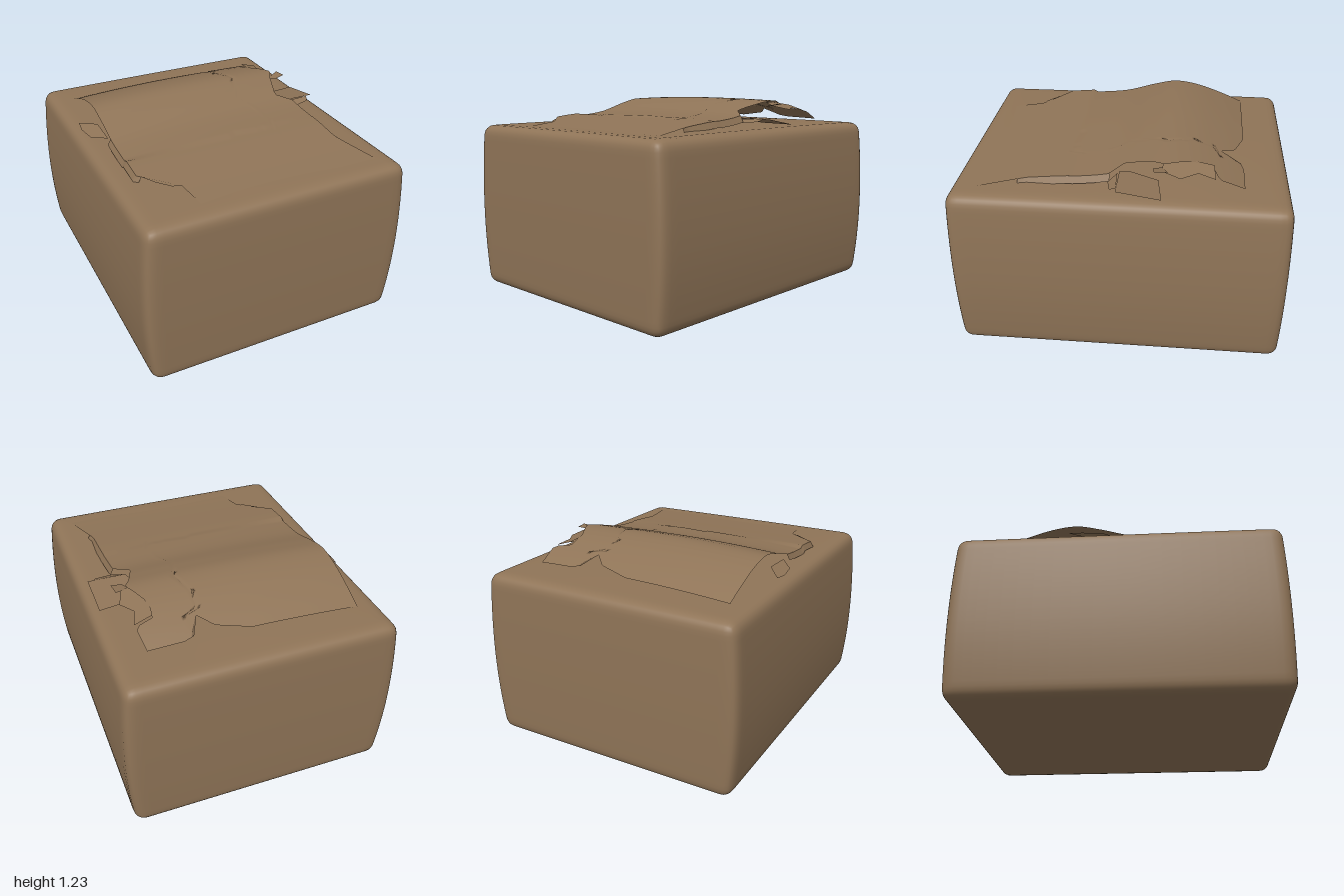
import * as THREE from 'three';
import { mergeVertices } from 'three/addons/utils/BufferGeometryUtils.js';

const cardboard = new THREE.MeshStandardMaterial({ color: 0x8f7457, side: THREE.DoubleSide });
cardboard.name = 'cardboard brown';

// Linear lookup through [position, value] pairs in ascending order
function lookup(pairs, t) {
  if (t <= pairs[0][0]) return pairs[0][1];
  for (let i = 1; i < pairs.length; i++) {
    const [a, va] = pairs[i - 1], [b, vb] = pairs[i];
    if (t <= b) return va + (vb - va) * (t - a) / (b - a);
  }
  return pairs[pairs.length - 1][1];
}

// Smooth curve of a value over z
function smoothProfile(points) {
  const curve = new THREE.CatmullRomCurve3(points.map(([z, y]) => new THREE.Vector3(0, y, z)));
  const samples = curve.getPoints(80).map((p) => [p.z, p.y]);
  return (z) => lookup(samples, z);
}

function addMesh(group, name, geometry) {
  const mesh = new THREE.Mesh(geometry, cardboard);
  mesh.name = name;
  group.add(mesh);
}

// Rounded carton whose walls bulge softly
function bodyGeometry() {
  let geo = new THREE.BoxGeometry(2, 2, 2, 28, 28, 28);
  geo.deleteAttribute('normal');
  geo.deleteAttribute('uv');
  geo = mergeVertices(geo);
  const pos = geo.attributes.position;
  const half = new THREE.Vector3(0.825, 0.53, 0.99);
  const r = 0.065;
  const inner = half.clone().subScalar(r);
  const p = new THREE.Vector3(), c = new THREE.Vector3();
  const spread = (t) => Math.sign(t) * (1 - (1 - Math.abs(t)) ** 2);
  for (let i = 0; i < pos.count; i++) {
    p.fromBufferAttribute(pos, i);
    p.set(spread(p.x), spread(p.y), spread(p.z)).multiply(half);
    c.copy(p).clamp(inner.clone().negate(), inner);
    p.sub(c).setLength(r).add(c);
    const nx = p.x / half.x, ny = p.y / half.y, nz = p.z / half.z;
    const swell = 1 - ny * ny;
    p.x *= 1 + 0.035 * swell + (ny < 0 ? -0.012 * ny * ny : 0);
    p.z *= 1 + 0.01 * swell;
    if (ny > 0) p.y += 0.022 * ny * (1 - nx * nx) * (1 - nz * nz);
    pos.setXYZ(i, p.x, p.y + 0.538, p.z);
  }
  geo.computeVertexNormals();
  return geo;
}

// Arched lid sheet, blended into the top at the front, open at the back
const lidHeight = smoothProfile([[-0.74, 1.09], [-0.6, 1.15], [-0.42, 1.21], [-0.27, 1.23],
  [-0.12, 1.2], [0.08, 1.145], [0.4, 1.115], [0.65, 1.09], [0.85, 1.072]]);
const sheetHeight = (x, z) =>
  lidHeight(z) + (z < 0.3 ? 0.007 - 0.022 * Math.min(1, (x / 0.68) ** 2) * (x < 0 ? 1 : 0.6) : 0);
const backEdge = [[-0.68, -0.74], [0, -0.73], [0.2, -0.67], [0.29, -0.57], [0.32, -0.57],
  [0.335, -0.7], [0.4, -0.72], [0.62, -0.72]];
const leftEdge = [[-0.74, -0.68], [0.48, -0.68], [0.55, -0.6], [0.66, -0.48], [0.85, -0.45]];
const rightEdge = [[-0.72, 0.62], [-0.57, 0.64], [-0.54, 0.53], [-0.42, 0.53], [-0.26, 0.61],
  [-0.2, 0.57], [-0.02, 0.51], [0.06, 0.6], [0.35, 0.61], [0.55, 0.61], [0.85, 0.7]];

function lidGeometry() {
  const geo = new THREE.PlaneGeometry(1, 1, 60, 60);
  const pos = geo.attributes.position;
  for (let i = 0; i < pos.count; i++) {
    const u = pos.getX(i) + 0.5, v = 0.5 - pos.getY(i);
    const back = lookup(backEdge, -0.68 + 1.3 * u);
    const z = back + (0.85 - back) * v;
    const left = lookup(leftEdge, z), right = lookup(rightEdge, z);
    const x = left + (right - left) * u;
    pos.setXYZ(i, x, sheetHeight(x, z), z);
  }
  geo.computeVertexNormals();
  return geo;
}

// Flat torn scrap from an [x, z] outline, lifted by a height rule
function scrapGeometry(outline, height) {
  const shape = new THREE.Shape(outline.map(([x, z]) => new THREE.Vector2(x, -z)));
  const geo = new THREE.ShapeGeometry(shape);
  geo.rotateX(-Math.PI / 2);
  const pos = geo.attributes.position;
  for (let i = 0; i < pos.count; i++) pos.setY(i, height(pos.getX(i), pos.getZ(i)));
  geo.computeVertexNormals();
  return geo;
}

export function createModel() {
  const model = new THREE.Group();
  model.name = 'cartonWithTornLid';
  addMesh(model, 'body', bodyGeometry());
  addMesh(model, 'liftedLid', lidGeometry());

  // Torn scraps along both sides of the lid
  const scraps = [
    ['rightLowerTear', [[0.55, -0.22], [0.77, -0.25], [0.775, 0.01], [0.54, 0.01], [0.51, -0.05]],
      (x, z) => 1.125 + 0.17 * z],
    ['rightUpperTear', [[0.53, -0.54], [0.64, -0.55], [0.61, -0.45], [0.67, -0.35], [0.63, -0.24], [0.55, -0.25], [0.51, -0.38]],
      (x, z) => 1.2 + 0.1 * (z + 0.4) - 0.3 * (x - 0.55)],
    ['rightTopShred', [[0.58, -0.24], [0.67, -0.28], [0.68, -0.2], [0.61, -0.19]],
      (x) => 1.19 + 0.2 * (x - 0.58)],
    ['rightFrontTear', [[0.55, 0.02], [0.74, 0.01], [0.72, 0.05], [0.62, 0.07]],
      (x, z) => 1.13 - 0.4 * z],
    ['leftTear', [[-0.77, -0.31], [-0.68, -0.2], [-0.68, 0], [-0.76, -0.09], [-0.78, -0.22]],
      (x, z) => 1.1 + 0.3 * (x + 0.74) - 0.04 * z],
    ['leftFrontTear', [[-0.66, 0.48], [-0.56, 0.53], [-0.46, 0.66], [-0.53, 0.64], [-0.6, 0.57]],
      (x, z) => 1.1 - 0.08 * (z - 0.48)],
  ];
  for (const [name, outline, height] of scraps) addMesh(model, name, scrapGeometry(outline, height));

  // Folded edge hanging from the left and right of the lid
  for (const [name, edge, z0, z1, drop] of [
    ['leftLidFold', leftEdge, 0.05, 0.5, 0.035], ['rightLidFold', rightEdge, 0.06, 0.6, 0.04]]) {
    const geo = new THREE.PlaneGeometry(1, 1, 20, 1);
    const pos = geo.attributes.position;
    for (let i = 0; i < pos.count; i++) {
      const z = z0 + (z1 - z0) * (pos.getX(i) + 0.5);
      const x = lookup(edge, z), low = pos.getY(i) < 0;
      pos.setXYZ(i, x + (low ? Math.sign(x) * 0.02 : 0), sheetHeight(x, z) - (low ? drop : 0), z);
    }
    geo.computeVertexNormals();
    addMesh(model, name, geo);
  }
  return model;
}
